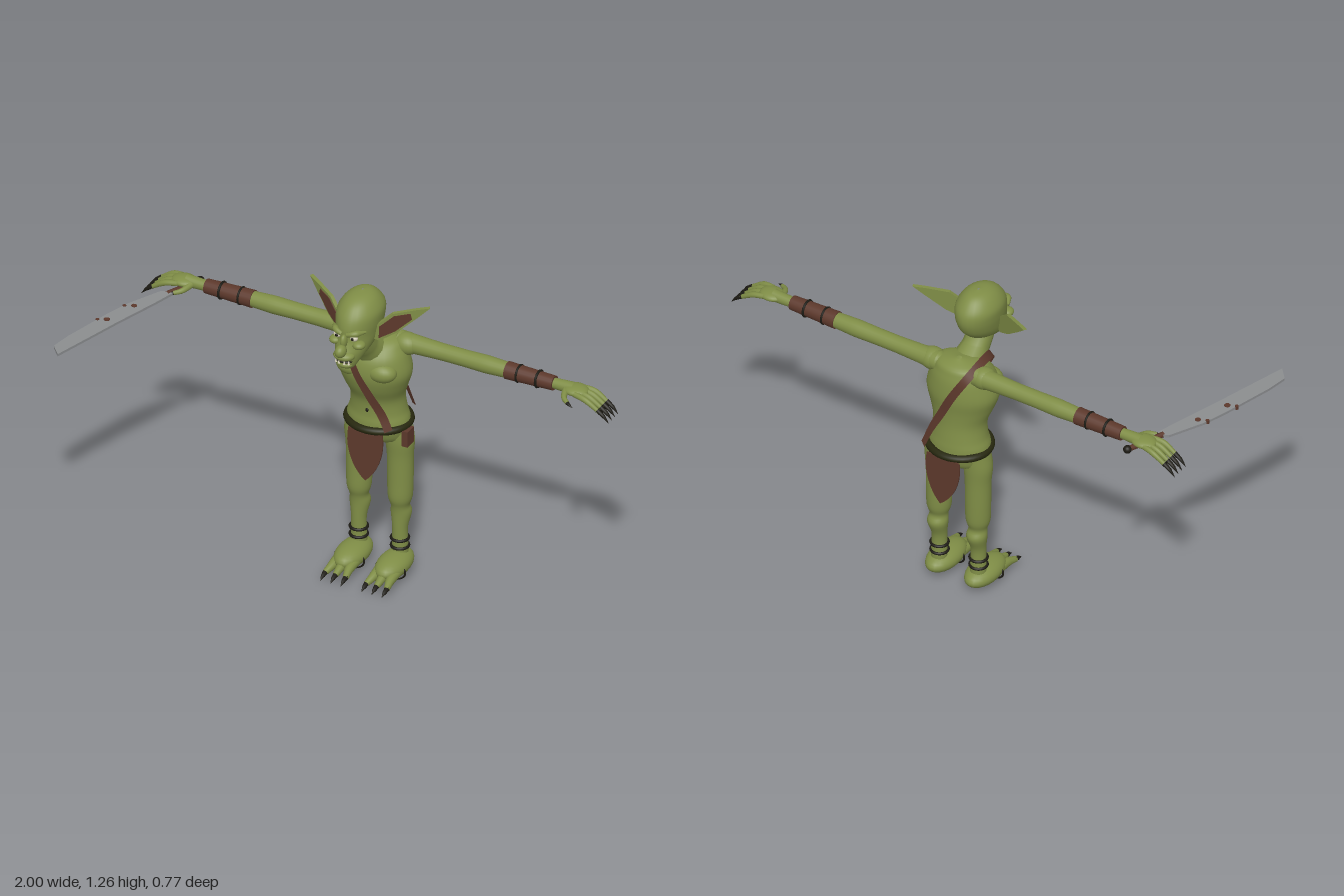
import * as THREE from 'three';
import { mergeVertices } from 'three/addons/utils/BufferGeometryUtils.js';

const mat = (name, color, side = THREE.FrontSide) => {
  const m = new THREE.MeshStandardMaterial({ color, side });
  m.name = name;
  return m;
};
const V = (x, y, z) => new THREE.Vector3(x, y, z);

export function createModel() {
  const skin = mat('green skin', 0x7f8d46);
  const leather = mat('brown leather', 0x5c382b, THREE.DoubleSide);
  const dark = mat('black bands and claws', 0x1d1b14);
  const beltMat = mat('dark olive belt', 0x27280f);
  const steel = mat('grey steel', 0x8b8d8f);
  const ivory = mat('ivory', 0xd9d3bb);

  const root = new THREE.Group();
  root.name = 'goblin';
  const body = new THREE.Group();
  body.name = 'body';
  body.position.x = 0.03;
  root.add(body);

  const add = (name, geo, material, pos = [0, 0, 0], parent = body) => {
    const m = new THREE.Mesh(geo, material);
    m.name = name;
    m.position.set(...pos);
    parent.add(m);
    return m;
  };
  const smooth = (g) => {
    g.deleteAttribute('uv');
    g.deleteAttribute('normal');
    const out = mergeVertices(g, 1e-5);
    out.computeVertexNormals();
    return out;
  };
  const ball = (name, pos, r, material = skin) =>
    add(name, new THREE.SphereGeometry(1, 24, 16).scale(...r), material, pos);

  // Upright form through rings of [y, back z, front z, half width], bottom to top
  const loft = (rings) => {
    const a = new THREE.CatmullRomCurve3(rings.map(([y, b, f, w]) => V(w, y, (b + f) / 2)), false, 'catmullrom');
    const d = new THREE.CatmullRomCurve3(rings.map(([y, b, f]) => V((f - b) / 2, y, 0)), false, 'catmullrom');
    const g = new THREE.CylinderGeometry(1, 1, 1, 28, rings.length * 4, true);
    const p = g.attributes.position;
    for (let i = 0; i < p.count; i++) {
      const t = THREE.MathUtils.clamp(p.getY(i) + 0.5, 0, 1);
      const c = a.getPoint(t), r = d.getPoint(t);
      p.setXYZ(i, p.getX(i) * c.x, c.y, c.z + p.getZ(i) * r.x);
    }
    return smooth(g);
  };
  // Tube with changing radius
  const sweep = (pts, radii, steps = 16, sides = 12) => {
    const curve = new THREE.CatmullRomCurve3(pts);
    const g = new THREE.TubeGeometry(curve, steps, 1, sides, false);
    const p = g.attributes.position;
    for (let i = 0; i < p.count; i++) {
      const t = Math.floor(i / (sides + 1)) / steps;
      const k = t * (radii.length - 1), j = Math.min(Math.floor(k), radii.length - 2);
      const c = curve.getPointAt(t);
      const v = V(0, 0, 0).fromBufferAttribute(p, i).sub(c)
        .multiplyScalar(THREE.MathUtils.lerp(radii[j], radii[j + 1], k - j)).add(c);
      p.setXYZ(i, v.x, v.y, v.z);
    }
    return smooth(g);
  };

  // Torso, neck and chest
  add('torso', loft([
    [0.555, -0.27, -0.26, 0.005], [0.575, -0.335, -0.195, 0.1], [0.62, -0.355, -0.168, 0.122],
    [0.66, -0.357, -0.165, 0.122], [0.7, -0.352, -0.17, 0.11], [0.76, -0.345, -0.165, 0.105],
    [0.82, -0.345, -0.138, 0.125], [0.88, -0.35, -0.122, 0.143], [0.94, -0.345, -0.127, 0.132],
    [0.98, -0.335, -0.15, 0.115], [1.01, -0.32, -0.19, 0.09], [1.03, -0.275, -0.255, 0.01]]), skin);
  add('neck', sweep([V(0, 1.09, -0.1), V(0, 1.03, -0.14), V(0, 0.95, -0.22)], [0.05, 0.052, 0.075]), skin);
  ball('navel', [0, 0.72, -0.168], [0.006, 0.008, 0.004], dark);

  // Head
  add('head', loft([
    [0.994, -0.012, 0, 0.004], [1.005, -0.035, 0.015, 0.03], [1.03, -0.075, 0.024, 0.045],
    [1.06, -0.165, 0.03, 0.06], [1.09, -0.205, 0.018, 0.07], [1.12, -0.228, 0.008, 0.076],
    [1.16, -0.241, 0.005, 0.082], [1.2, -0.236, -0.01, 0.082], [1.235, -0.21, -0.04, 0.062],
    [1.255, -0.18, -0.08, 0.035], [1.262, -0.14, -0.13, 0.003]]), skin);
  ball('nose', [0, 1.088, 0.038], [0.021, 0.025, 0.028]);
  ball('noseBridge', [0, 1.118, 0.015], [0.013, 0.028, 0.018]);
  ball('upperLip', [0, 1.058, 0.01], [0.042, 0.02, 0.036]);
  ball('lowerLip', [0, 1.017, 0], [0.032, 0.016, 0.027]);
  ball('mouth', [0, 1.037, 0.012], [0.034, 0.007, 0.02], dark);

  // Ear outline, outward and up from the root
  const earPts = [[-0.01, -0.01], [0.012, -0.018], [0.074, 0.015], [0.153, 0.079], [0.197, 0.117],
    [0.147, 0.111], [0.061, 0.096], [0, 0.047]];
  const innerPts = [[0.008, -0.006], [0.068, 0.022], [0.13, 0.072], [0.125, 0.096], [0.064, 0.086], [0.01, 0.042]];
  const shapeOf = (pts, s = 1) => new THREE.Shape(pts.map(([x, y]) => new THREE.Vector2(x * s, y)));
  const slab = (shape, depth) => new THREE.ExtrudeGeometry(shape, { depth, bevelEnabled: false, curveSegments: 10 });

  for (const s of [1, -1]) {
    const side = s > 0 ? 'left' : 'right';
    const P = (x, y, z) => V(x * s, y, z);

    // Face details
    ball(side + 'Eye', [0.034 * s, 1.132, -0.002], [0.015, 0.012, 0.012], ivory);
    ball(side + 'Pupil', [0.033 * s, 1.132, 0.008], [0.006, 0.007, 0.004], dark);
    add(side + 'Brow', sweep([P(0.01, 1.145, 0.01), P(0.035, 1.152, 0.004), P(0.066, 1.15, -0.035)],
      [0.008, 0.013, 0.004]), skin);
    ball(side + 'Cheek', [0.048 * s, 1.1, -0.015], [0.024, 0.016, 0.026]);
    for (const x of [0.011, 0.026])
      add(side + 'Tooth', new THREE.ConeGeometry(0.005, 0.022, 8), ivory, [x * s, 1.041, 0.036 - x * 0.45]);

    // Ear
    const ear = new THREE.Group();
    ear.name = side + 'Ear';
    ear.position.set(0.075 * s, 1.1, -0.1);
    ear.rotation.y = 0.51 * s;
    body.add(ear);
    add('earShell', slab(shapeOf(earPts, s), 0.014), skin, [0, 0, -0.01], ear);
    add('earInner', slab(shapeOf(innerPts, s), 0.003), leather, [0, 0, 0.004], ear);

    // Arm and wrapped forearm
    ball(side + 'Shoulder', [0.11 * s, 0.985, -0.27], [0.055, 0.043, 0.045]);
    ball(side + 'Pectoral', [0.062 * s, 0.905, -0.165], [0.06, 0.04, 0.045]);
    add(side + 'Arm', sweep([P(0.08, 0.987, -0.275), P(0.25, 0.987, -0.275), P(0.5, 0.987, -0.275),
      P(0.65, 0.987, -0.275), P(0.8, 0.988, -0.275)], [0.04, 0.035, 0.032, 0.032, 0.034, 0.03, 0.026, 0.02, 0.024], 32, 20), skin);
    const bracer = add(side + 'Bracer', new THREE.CylinderGeometry(0.028, 0.034, 0.195, 20), leather, [0.622 * s, 0.987, -0.275]);
    bracer.rotation.z = -Math.PI / 2 * s;
    for (const x of [0.575, 0.655])
      add(side + 'BracerBand', new THREE.TorusGeometry(0.031, 0.005, 8, 24).rotateY(Math.PI / 2), dark, [x * s, 0.987, -0.275]);

    // Hand with clawed fingers
    ball(side + 'Palm', [0.81 * s, 0.988, -0.272], [0.05, 0.018, 0.042]);
    for (const z of [-0.306, -0.282, -0.257, -0.232]) {
      add(side + 'Finger', sweep([P(0.82, 0.988, z * 0.8 - 0.054), P(0.87, 0.98, z), P(0.925, 0.947, z)],
        [0.011, 0.011, 0.008]), skin);
      add(side + 'FingerClaw', sweep([P(0.918, 0.952, z), P(0.945, 0.932, z), P(0.966, 0.908, z)],
        [0.009, 0.007, 0.0005], 8, 8), dark);
    }
    add(side + 'Thumb', sweep([P(0.775, 0.985, -0.26), P(0.79, 0.978, -0.215), P(0.815, 0.972, -0.195)],
      [0.014, 0.011, 0.008]), skin);
    add(side + 'ThumbClaw', sweep([P(0.812, 0.972, -0.197), P(0.825, 0.97, -0.19), P(0.84, 0.965, -0.185)],
      [0.008, 0.005, 0.0005], 6, 8), dark);

    // Leg and ankle rings
    add(side + 'Leg', loft([
      [0.05, -0.3, -0.235, 0.032], [0.12, -0.297, -0.237, 0.03], [0.19, -0.297, -0.237, 0.029],
      [0.25, -0.318, -0.237, 0.039], [0.285, -0.305, -0.233, 0.035], [0.325, -0.315, -0.222, 0.046],
      [0.4, -0.317, -0.222, 0.049], [0.5, -0.317, -0.221, 0.05], [0.57, -0.32, -0.215, 0.055],
      [0.63, -0.32, -0.215, 0.045]]), skin, [0.085 * s, 0, 0]);
    for (const y of [0.11, 0.143])
      add(side + 'AnkleRing', new THREE.TorusGeometry(0.032, 0.006, 8, 24).rotateX(Math.PI / 2), dark, [0.085 * s, y, -0.266]);

    // Foot, strap and clawed toes
    ball(side + 'Foot', [0.085 * s, 0.055, -0.222], [0.06, 0.042, 0.108]);
    add(side + 'FootStrap', new THREE.TorusGeometry(0.06, 0.004, 8, 28).scale(1, 0.63, 1), dark, [0.085 * s, 0.043, -0.193]);
    for (const t of [-1, 0, 1]) {
      const x = 0.085 + t * 0.034, e = x + t * 0.008;
      add(side + 'Toe', sweep([P(x, 0.05, -0.18), P(x, 0.042, -0.125), P(e, 0.03, -0.08)], [0.02, 0.018, 0.011]), skin);
      add(side + 'ToeClaw', sweep([P(e, 0.032, -0.086), P(e, 0.026, -0.065), P(e, 0.016, -0.043)],
        [0.011, 0.008, 0.0005], 8, 8), dark);
    }
  }

  // Belt, pouch and loincloths
  add('belt', new THREE.TorusGeometry(0.119, 0.015, 10, 40).rotateX(Math.PI / 2).scale(1, 1, 0.915), beltMat, [0, 0.643, -0.263]);
  add('pouch', new THREE.BoxGeometry(0.025, 0.065, 0.05), leather, [0.13, 0.605, -0.24]);
  const cloth = new THREE.Shape();
  cloth.moveTo(-0.07, 0);
  cloth.lineTo(0.07, 0);
  cloth.bezierCurveTo(0.085, -0.09, 0.045, -0.17, 0.005, -0.205);
  cloth.bezierCurveTo(-0.045, -0.17, -0.085, -0.09, -0.07, 0);
  for (const [name, z, tilt] of [['frontLoincloth', -0.16, -0.05], ['backLoincloth', -0.376, 0.05]])
    add(name, slab(cloth, 0.006), leather, [0, 0.635, z]).rotation.x = tilt;

  // Diagonal strap over the right shoulder
  const path = new THREE.CatmullRomCurve3([
    V(0.095, 0.66, -0.157), V(0.07, 0.72, -0.155), V(0.03, 0.82, -0.122), V(-0.02, 0.92, -0.108),
    V(-0.065, 1.0, -0.145), V(-0.09, 1.037, -0.24), V(-0.075, 1.0, -0.33), V(-0.03, 0.92, -0.36),
    V(0.02, 0.82, -0.36), V(0.06, 0.74, -0.362), V(0.09, 0.66, -0.37)]);
  const strap = new THREE.PlaneGeometry(1, 1, 1, 48);
  const sp = strap.attributes.position;
  for (let i = 0; i < sp.count; i++) {
    const t = 0.5 - sp.getY(i), c = path.getPoint(t);
    const out = c.clone().sub(V(0, Math.min(c.y, 0.93), -0.257));
    const w = path.getTangent(t).cross(out).normalize();
    c.addScaledVector(w, sp.getX(i) * 0.032);
    sp.setXYZ(i, c.x, c.y, c.z);
  }
  strap.computeVertexNormals();
  add('chestStrap', strap, leather);

  // Curved sword lying flat in the right hand
  const sword = new THREE.Group();
  sword.name = 'sword';
  root.add(sword);
  const blade = shapeOf([[-0.778, -0.21], [-0.81, -0.1], [-0.87, 0.083], [-0.905, 0.2], [-0.96, 0.38],
    [-1, 0.335], [-0.985, 0.25], [-0.96, 0.16], [-0.93, 0.05], [-0.896, -0.05], [-0.83, -0.18]]);
  add('blade', slab(blade, 0.01).rotateX(Math.PI / 2), steel, [0, 0.976, 0], sword);
  add('swordGrip', sweep([V(-0.742, 0.968, -0.325), V(-0.77, 0.968, -0.26), V(-0.805, 0.97, -0.18)],
    [0.011, 0.011, 0.011]), leather, [0, 0, 0], sword);
  add('pommel', new THREE.SphereGeometry(0.016, 16, 12), dark, [-0.742, 0.968, -0.325], sword);
  for (const [x, z, r] of [[-0.868, -0.045, 0.011], [-0.912, 0.085, 0.012], [-0.9, -0.03, 0.007], [-0.943, 0.1, 0.007]])
    add('rustSpot', new THREE.CylinderGeometry(r, r, 0.014, 10), leather, [x, 0.971, z], sword);

  return root;
}
